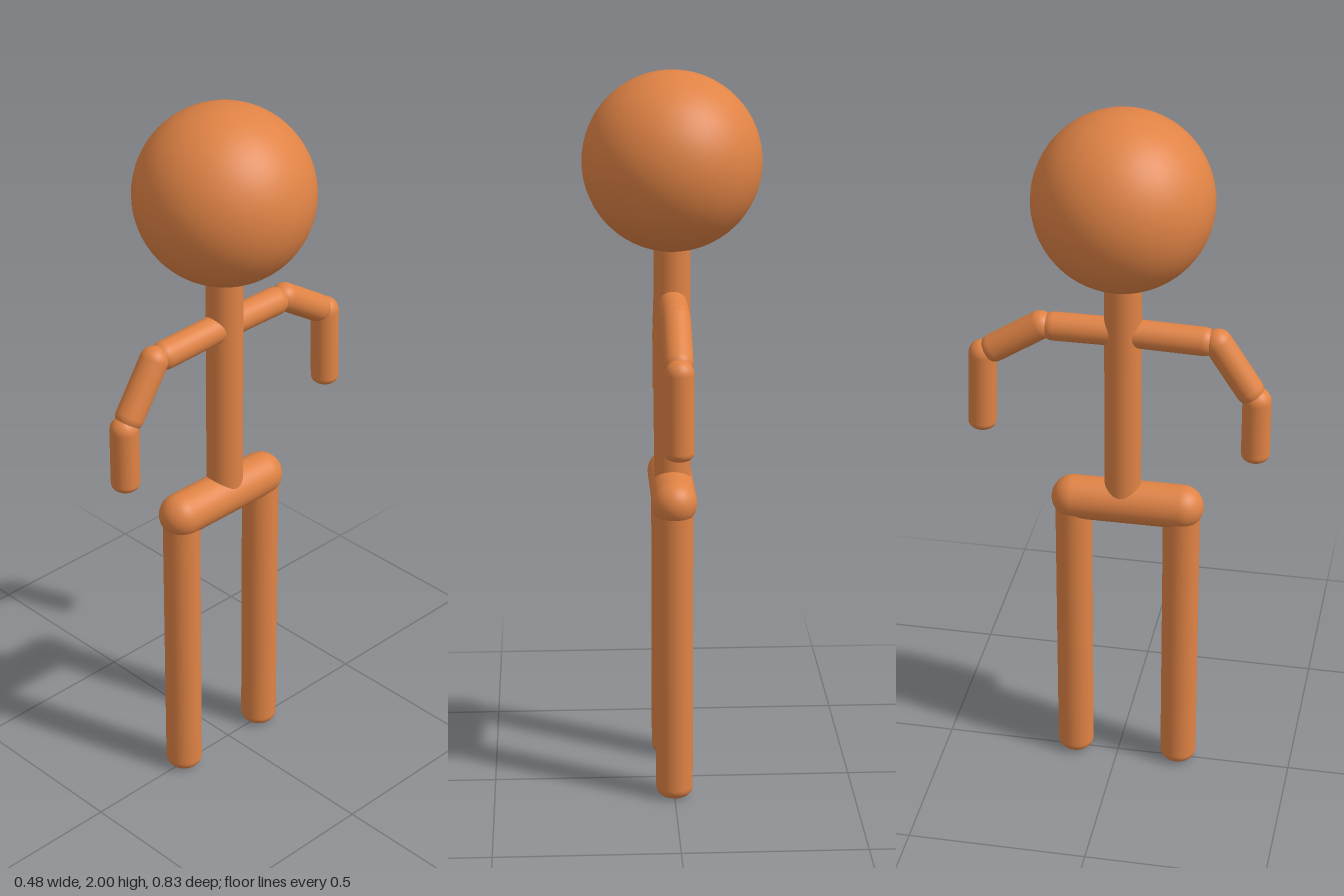
import * as THREE from 'three';

const material = new THREE.MeshStandardMaterial({ color: 0xe08345 });
const UP = new THREE.Vector3(0, 1, 0);

// Round bar in the x = 0 plane: hemisphere centred on "from", tip with rounded edge "fillet" ending at "to".
// Points are [z, y].
function bar(name, from, to, radius, fillet = radius) {
  const a = new THREE.Vector3(0, from[1], from[0]);
  const b = new THREE.Vector3(0, to[1], to[0]);
  const length = a.distanceTo(b);
  const profile = new THREE.Path();
  profile.absarc(0, 0, radius, -Math.PI / 2, 0);
  profile.lineTo(radius, length - fillet);
  profile.absarc(radius - fillet, length - fillet, fillet, 0, Math.PI / 2);
  if (fillet < radius) profile.lineTo(0, length);
  const points = profile.getPoints(8);
  points.forEach((p) => { p.x = Math.max(p.x, 0); });
  const mesh = new THREE.Mesh(new THREE.LatheGeometry(points, 32), material);
  mesh.name = name;
  mesh.position.copy(a);
  mesh.quaternion.setFromUnitVectors(UP, b.sub(a).normalize());
  return mesh;
}

// Arm: shoulder, elbow and wrist joints, then the tip of the hand
function arm(name, joints, radius) {
  const group = new THREE.Group();
  group.name = name;
  const parts = ['upperArm', 'forearm', 'hand'];
  parts.forEach((part, i) => {
    group.add(bar(part, joints[i], joints[i + 1], radius, i === 2 ? 0.022 : radius));
  });
  // Ball joints fill the outside of each bend
  for (const [z, y] of joints.slice(1, 3)) {
    const joint = new THREE.Mesh(new THREE.SphereGeometry(radius, 32, 20), material);
    joint.name = 'armJoint';
    joint.position.set(0, y, z);
    group.add(joint);
  }
  return group;
}

export function createModel() {
  const model = new THREE.Group();
  model.name = 'stickFigure';

  // Head
  const head = new THREE.Mesh(new THREE.SphereGeometry(0.24, 48, 32), material);
  head.name = 'head';
  head.position.set(0, 1.76, 0.013);
  model.add(head);

  // Torso and hips
  model.add(bar('torso', [0.013, 1.57], [0.013, 0.86], 0.05, 0.03));
  model.add(bar('hips', [0.177, 0.853], [-0.186, 0.853], 0.061));

  // Legs
  model.add(bar('frontLeg', [0.177, 0.85], [0.177, 0], 0.051, 0.03));
  model.add(bar('rearLeg', [-0.125, 0.85], [-0.125, 0], 0.051, 0.03));

  // Arms, each bent differently
  model.add(arm('frontArm', [[0.02, 1.378], [0.268, 1.37], [0.376, 1.205], [0.376, 1.025]], 0.039));
  model.add(arm('rearArm', [[0.01, 1.378], [-0.212, 1.378], [-0.371, 1.277], [-0.378, 1.05]], 0.039));

  return model;
}
